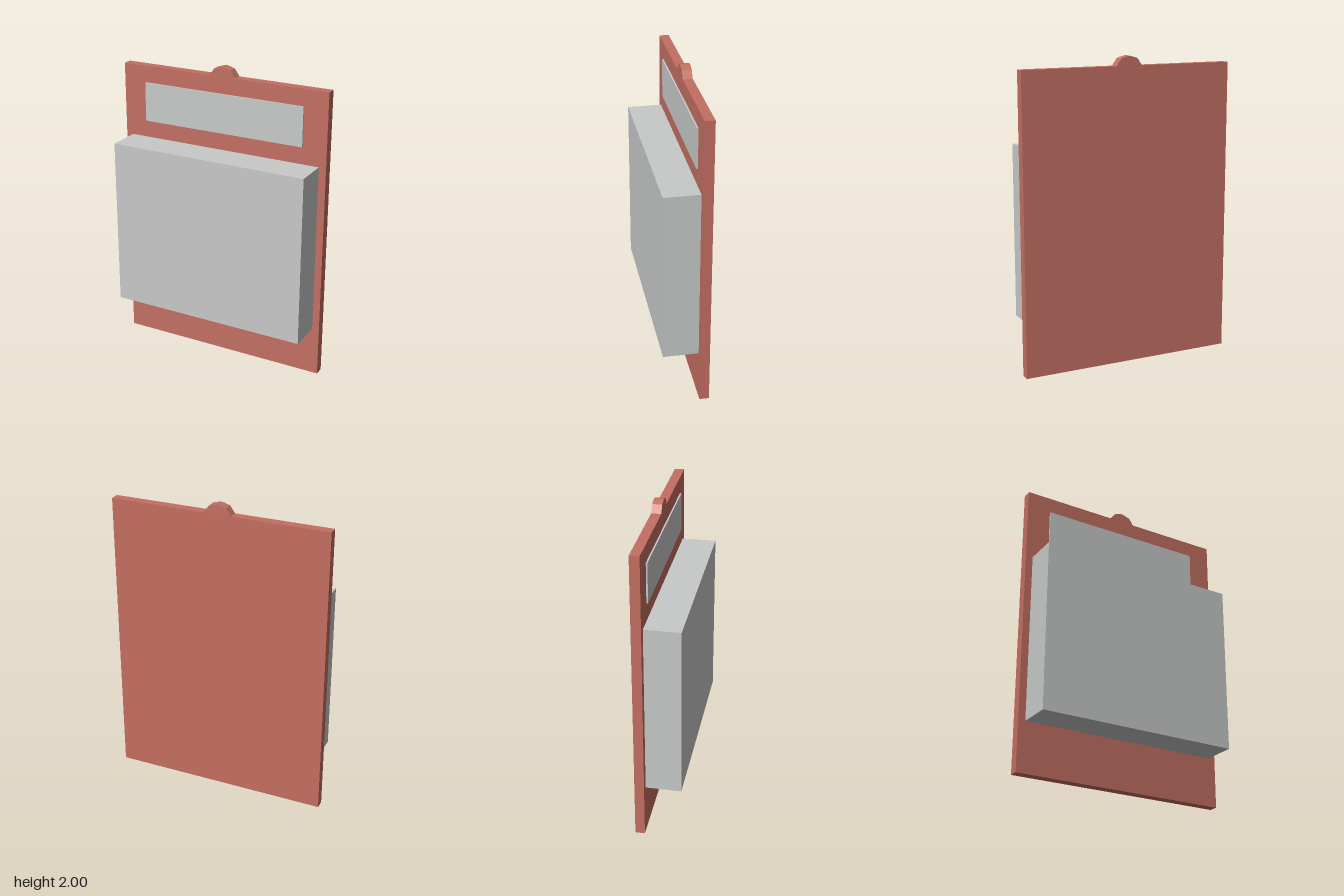
import * as THREE from 'three';

export function createModel() {
  const group = new THREE.Group();
  const red = new THREE.MeshStandardMaterial({ name: 'boardRed', color: 0xc46f62 });
  const grey = new THREE.MeshStandardMaterial({ name: 'paperGrey', color: 0xc8c9c9 });
  const back = -0.145, face = -0.083;

  // Backing board with a small faceted hanging tab on its top edge
  const outline = [
    [-0.723, 0], [0.723, 0], [0.723, 1.937], [0.09, 1.937], [0.056, 1.984],
    [0, 2], [-0.056, 1.984], [-0.09, 1.937], [-0.723, 1.937],
  ].map(([x, y]) => new THREE.Vector2(x, y));
  const boardGeometry = new THREE.ExtrudeGeometry(new THREE.Shape(outline), {
    depth: face - back, bevelEnabled: false,
  });
  const board = new THREE.Mesh(boardGeometry, red);
  board.name = 'backingBoard';
  board.position.z = back;
  group.add(board);

  // Blocks mounted on the face of the board
  const addBlock = (name, width, bottom, top, front) => {
    const depth = front - face;
    const mesh = new THREE.Mesh(new THREE.BoxGeometry(width, top - bottom, depth), grey);
    mesh.name = name;
    mesh.position.set(0, (top + bottom) / 2, face + depth / 2);
    group.add(mesh);
  };
  addBlock('pagePad', 1.35, 0.328, 1.455, 0.145);
  addBlock('headerPlate', 1.126, 1.568, 1.827, -0.073);

  return group;
}
